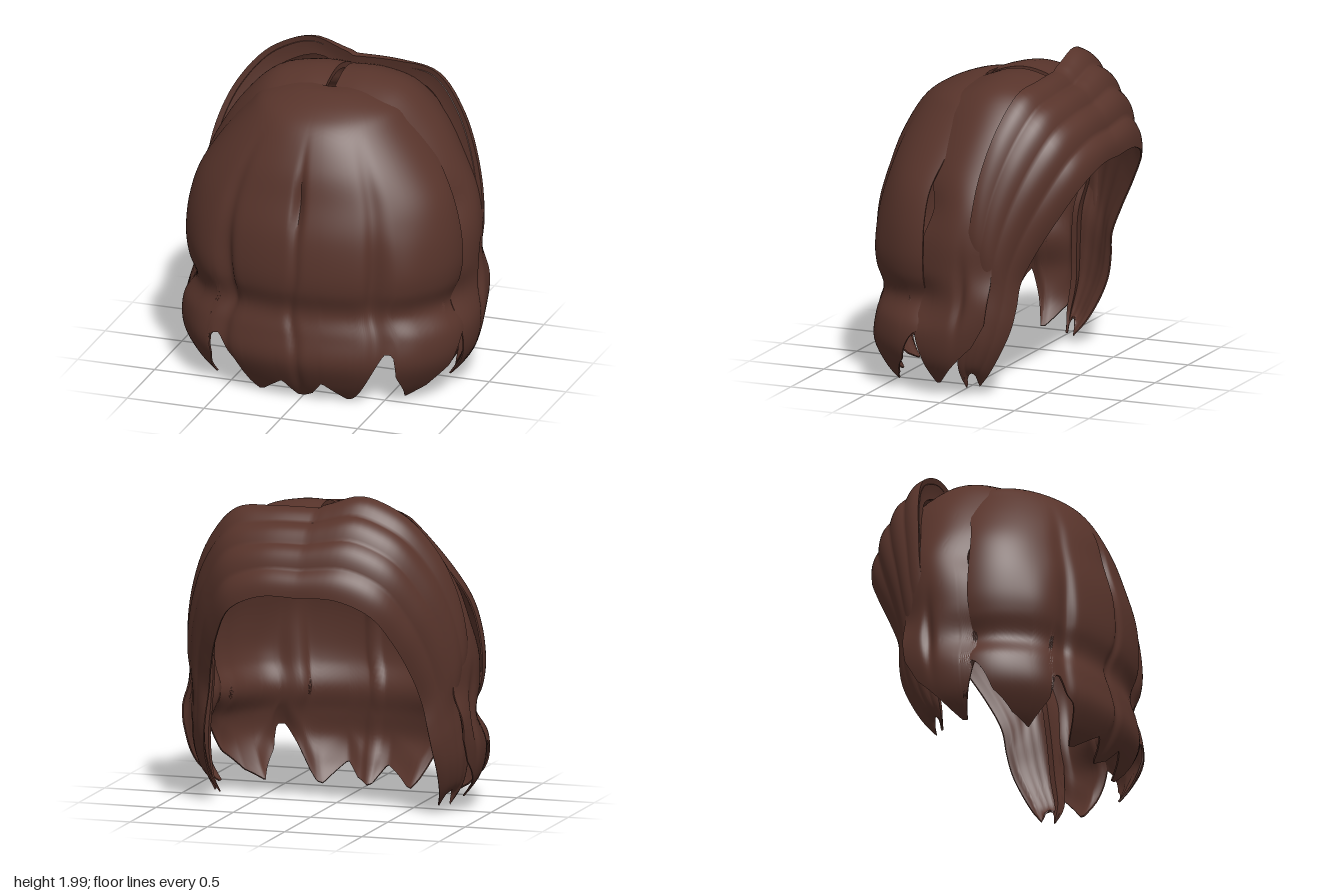
import * as THREE from 'three';
import { toCreasedNormals } from 'three/addons/utils/BufferGeometryUtils.js';

// Smooth interpolation through rows of numbers, t in 0..1
function spline(rows, t) {
  const n = rows.length - 1, f = Math.min(Math.max(t, 0), 1) * n;
  const i = Math.min(Math.floor(f), n - 1), k = f - i;
  const row = (j) => rows[Math.min(Math.max(j, 0), n)];
  const [a, b, c, d] = [row(i - 1), row(i), row(i + 1), row(i + 2)];
  return b.map((q, m) => q + 0.5 * k * (c[m] - a[m] + k * (2 * a[m] - 5 * q + 4 * c[m] - d[m]
    + k * (3 * (q - c[m]) + d[m] - a[m]))));
}

// Straight-line lookup in a table of [x, y]
function lookup(table, x) {
  for (let i = 1; i < table.length; i++) {
    const [x0, y0] = table[i - 1], [x1, y1] = table[i];
    if (x <= x1) return y0 + (y1 - y0) * (x - x0) / (x1 - x0);
  }
  return table[table.length - 1][1];
}

// Position along the rows where the height (column col) drops to y
function dropTo(rows, col, y) {
  let lo = 0.3, hi = 1;
  for (let i = 0; i < 24; i++) {
    const mid = (lo + hi) / 2;
    if (spline(rows, mid)[col] > y) lo = mid; else hi = mid;
  }
  return lo;
}

const bump = (x, centre, width) => Math.exp(-(((x - centre) / width) ** 2));

// Closed shell: outer skin, inner skin offset along the normals and thinned at the hem, and a rim
function shell(name, fn, nu, nv, thick, material) {
  const pos = [], idx = [], depth = [], at = (i, j) => i * (nv + 1) + j;
  for (let i = 0; i <= nu; i++) for (let j = 0; j <= nv; j++) {
    pos.push(...fn(i / nu, j / nv));
    const edge = Math.min(i / nu, 1 - i / nu, 1 - j / nv);
    depth.push(thick * (0.2 + 0.8 * THREE.MathUtils.smoothstep(edge, -0.02, 0.1)));
  }
  for (let i = 0; i < nu; i++) for (let j = 0; j < nv; j++) {
    const a = at(i, j), b = at(i, j + 1), c = at(i + 1, j), d = at(i + 1, j + 1);
    idx.push(a, b, c, c, b, d);
  }
  const skin = new THREE.BufferGeometry();
  skin.setAttribute('position', new THREE.Float32BufferAttribute(pos, 3));
  skin.setIndex(idx);
  skin.computeVertexNormals();
  const nrm = skin.attributes.normal.array, count = pos.length / 3;
  const all = pos.concat(pos.map((p, i) => p - nrm[i] * depth[Math.floor(i / 3)]));
  const faces = idx.slice();
  for (let i = 0; i < idx.length; i += 3) faces.push(idx[i] + count, idx[i + 2] + count, idx[i + 1] + count);
  const rim = (a, b) => faces.push(a, a + count, b, b, a + count, b + count);
  for (let i = 0; i < nu; i++) { rim(at(i, 0), at(i + 1, 0)); rim(at(i + 1, nv), at(i, nv)); }
  for (let j = 0; j < nv; j++) { rim(at(0, j + 1), at(0, j)); rim(at(nu, j), at(nu, j + 1)); }
  const geo = new THREE.BufferGeometry();
  geo.setAttribute('position', new THREE.Float32BufferAttribute(all, 3));
  geo.setIndex(faces);
  const mesh = new THREE.Mesh(toCreasedNormals(geo, 0.9), material);
  mesh.name = name;
  return mesh;
}

// Long rounded panel: height, half width, depth, centre z
const panelRows = [
  [1.87, 0, 0, 0.11], [1.865, 0.2, 0.13, 0.08], [1.8, 0.42, 0.33, 0.05], [1.7, 0.53, 0.47, 0.04],
  [1.5, 0.69, 0.53, 0.09], [1.3, 0.81, 0.53, 0.15], [1.1, 0.87, 0.57, 0.165], [0.9, 0.89, 0.59, 0.165],
  [0.75, 0.87, 0.575, 0.17], [0.6, 0.82, 0.525, 0.175], [0.45, 0.9, 0.54, 0.19],
  [0.28, 0.9, 0.56, 0.19], [0.12, 0.82, 0.5, 0.18], [0, 0.72, 0.42, 0.17],
];
// Jagged lower edge of the panel: position across, height
const panelHem = [
  [-1, 0.42], [-0.97, 0.22], [-0.9, 0.1], [-0.8, 0.03], [-0.68, 0.2], [-0.645, 0.36], [-0.6, 0.37], [-0.55, 0.27],
  [-0.48, 0.22], [-0.43, 0.05], [-0.4, 0.01], [-0.35, 0.02], [-0.13, 0.13], [-0.04, 0.02], [0, 0.01],
  [0.1, 0.05], [0.18, 0.14], [0.3, 0.06], [0.38, 0.01], [0.43, 0.02], [0.47, 0.08], [0.6, 0.36],
  [0.645, 0.36], [0.68, 0.2], [0.8, 0.03], [0.9, 0.1], [0.97, 0.22], [1, 0.42],
];
function panelPoint(u, v) {
  const a = (u - 0.5) * Math.PI, s = Math.sin(a);
  const [y, rx, rz, zc] = spline(panelRows, v * dropTo(panelRows, 0, lookup(panelHem, s)));
  // Grooves between the locks and fuller outer locks
  const fade = THREE.MathUtils.smoothstep(1.75 - y, 0, 0.5);
  const low = THREE.MathUtils.smoothstep(1.2 - y, 0, 0.4);
  const seam = -0.06 * bump(y, 0.6, 0.15);
  const groove = fade * ((0.03 + 0.07 * bump(y, 1.32, 0.16)) * bump(s, seam, 0.035)
    + (0.03 + 0.04 * bump(y, 0.8, 0.25)) * (bump(s, -0.56, 0.06) + bump(s, 0.56, 0.06)));
  const lobe = 0.025 * low * bump(Math.abs(s), 0.74, 0.12);
  const r = 1 - groove + lobe;
  return [rx * s * r, y, zc + rz * Math.cos(a) * r];
}

// Side lock from the parting: x of each edge, height, z of each edge
const sideRows = [
  [0.03, 0.02, 1.88, 0.13, -0.36], [0.2, 0.2, 1.88, 0.14, -0.36], [0.42, 0.43, 1.82, 0.14, -0.35],
  [0.6, 0.63, 1.63, 0.15, -0.34], [0.745, 0.77, 1.4, 0.17, -0.3], [0.83, 0.86, 1.2, 0.125, -0.27],
  [0.88, 0.89, 1.0, 0.18, -0.27], [0.885, 0.88, 0.8, 0.2, -0.28], [0.83, 0.92, 0.62, 0.2, -0.27],
  [0.9, 0.9, 0.42, 0.22, -0.24], [0.87, 0.85, 0.22, 0.21, -0.2], [0.73, 0.73, 0.04, 0.19, -0.2],
];
const sideHem = [[0, 0.42], [0.05, 0.32], [0.2, 0.08], [0.27, 0.08], [0.42, 0.14], [0.6, 0.22], [0.87, 0.35], [1, 0.5]];
function sidePoint(u, v) {
  const [xa, xb, y, z0, z1] = spline(sideRows, v * dropTo(sideRows, 2, lookup(sideHem, u)));
  const x = xa + (xb - xa) * u;
  const up = Math.max(0, y - 0.9), len = Math.hypot(x, up);
  // Crowned across, with both edges tucked under the neighbouring locks
  const high = THREE.MathUtils.smoothstep(y, 0.4, 0.9);
  const swell = (0.04 + 0.025 * high) * Math.sin(Math.PI * u) - 0.03 * high;
  const groove = 0.03 * bump(u, 0.62, 0.07) * bump(y, 0.65, 0.2);
  return [x + (swell - groove) * x / len, y + swell * up / len, z0 + (z1 - z0) * u];
}

// Fringe band: crown edge x, y, z and face edge x, y, z from the middle to the tip
const bandRows = [
  [0, 1.91, -0.32, 0, 1.42, -0.755], [0.28, 1.91, -0.33, 0.24, 1.42, -0.755],
  [0.54, 1.88, -0.31, 0.46, 1.32, -0.71], [0.73, 1.68, -0.25, 0.58, 1.12, -0.6],
  [0.85, 1.4, -0.19, 0.65, 0.92, -0.49], [0.9, 1.1, -0.15, 0.69, 0.74, -0.41],
  [0.87, 0.85, -0.1, 0.72, 0.58, -0.39], [0.88, 0.62, -0.08, 0.74, 0.44, -0.36],
  [0.88, 0.4, -0.07, 0.75, 0.3, -0.3], [0.84, 0.2, -0.05, 0.74, 0.16, -0.22],
  [0.76, 0.06, -0.07, 0.71, 0.06, -0.14],
];
const FOLD = 0.12;
function bandPoint(u, w) {
  const s = 1 - 2 * u, t = Math.abs(s);
  const v = Math.max(0, (w - FOLD) / (1 - FOLD));
  const [x0, y0, z0, x1, y1, z1] = spline(bandRows, t);
  const p = new THREE.Vector3(x0, y0, z0).lerp(new THREE.Vector3(x1, y1, z1), v);
  // Rounded swell with four scalloped strands that fade down the sides
  const out = new THREE.Vector3(p.x, Math.max(0, p.y - 0.9), p.z).normalize();
  const swell = (0.03 + 0.05 * (1 - t)) * Math.sin(Math.PI * v);
  const strands = 0.026 * Math.max(0.15, 1 - 1.5 * t) * Math.abs(Math.sin(4 * Math.PI * v));
  p.addScaledVector(out, swell + strands);
  // Raised quiff on one side, split tips at the ends
  if (s < 0) p.y += 0.09 * bump(p.x, 0.28, 0.2) * (1 - v);
  p.y += 0.1 * t ** 12 * Math.sin(Math.PI * v);
  // Crown edge folds inward to meet the hair below it
  const fold = Math.max(0, 1 - w / FOLD) * (1 - t ** 6);
  const up = Math.max(0, p.y - 0.9), len = Math.hypot(p.x, up);
  p.x -= 0.13 * fold * p.x / len;
  p.y -= 0.13 * fold * up / len;
  p.z -= 0.02 * Math.sin(fold * Math.PI / 2);
  return [Math.sign(s) * p.x, p.y, p.z];
}

export function createModel() {
  const hair = new THREE.MeshStandardMaterial({ color: 0x58342b, side: THREE.DoubleSide });
  hair.name = 'brown hair';
  const group = new THREE.Group();
  group.name = 'hair';
  group.add(shell('longPanel', panelPoint, 160, 64, 0.04, hair));
  group.add(shell('leftSideLock', sidePoint, 40, 56, 0.035, hair));
  group.add(shell('rightSideLock', (u, v) => {
    const [x, y, z] = sidePoint(1 - u, v);
    return [-x, y, z];
  }, 40, 56, 0.035, hair));
  group.add(shell('fringeBand', bandPoint, 120, 50, 0.035, hair));
  return group;
}
